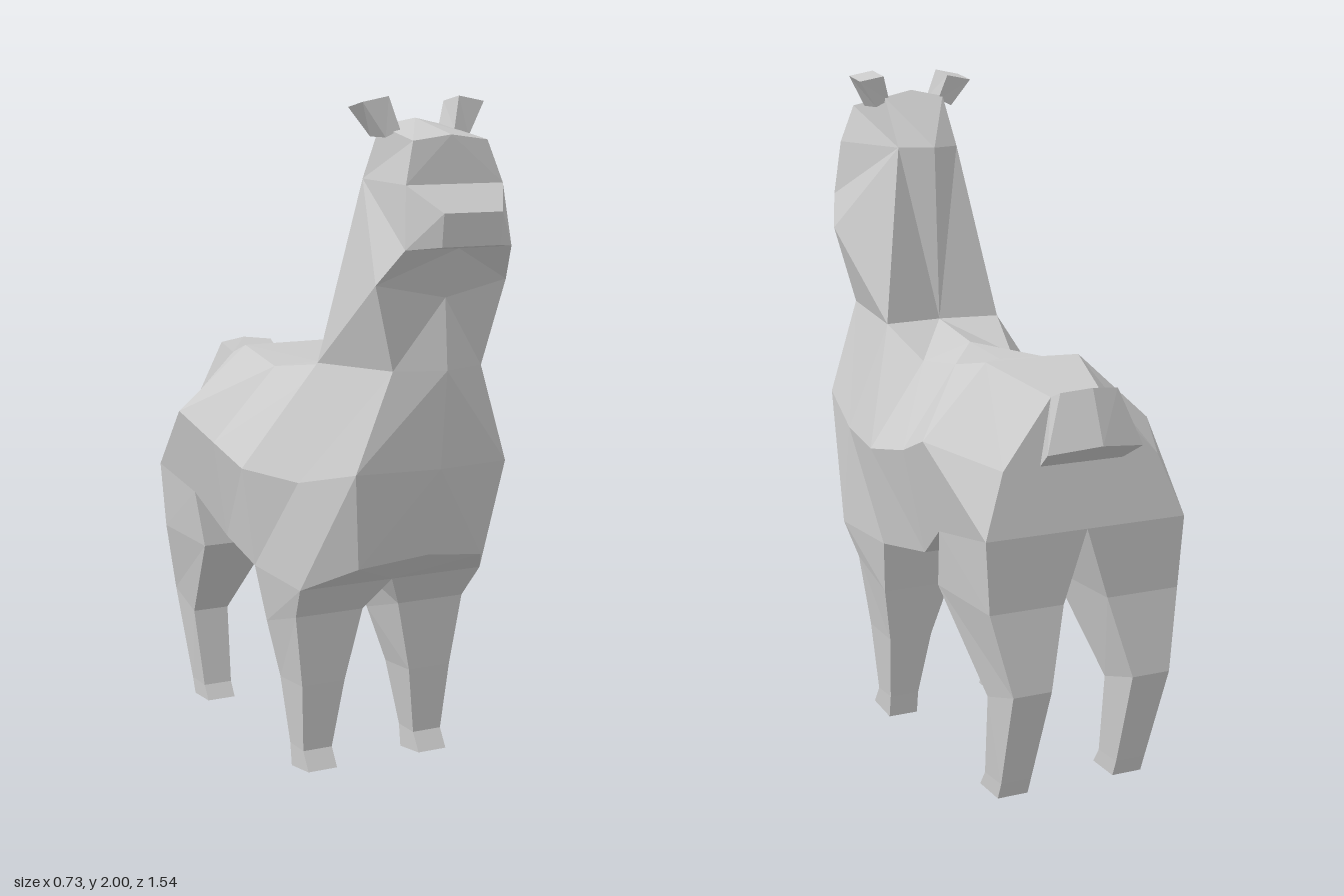
import * as THREE from 'three';

const material = new THREE.MeshStandardMaterial({ color: 0xcccccc, flatShading: true });

// Builds both mirrored halves from grids of points on the +x side.
// Rows run downwards and columns run front to back as seen from outside.
function mirrored(name, ...grids) {
  const positions = [];
  const triangle = (a, b, c) => {
    const [A, B, C] = [a, b, c].map((p) => new THREE.Vector3(...p));
    if (new THREE.Triangle(A, B, C).getArea() < 1e-7) return;
    positions.push(...a, ...b, ...c);
    for (const [x, y, z] of [a, c, b]) positions.push(-x, y, z);
  };
  for (const rows of grids) {
    for (let i = 0; i < rows.length - 1; i++) {
      for (let j = 0; j < rows[i].length - 1; j++) {
        const a = rows[i][j], b = rows[i + 1][j], c = rows[i + 1][j + 1], d = rows[i][j + 1];
        triangle(a, b, c);
        triangle(a, c, d);
      }
    }
  }
  const geometry = new THREE.BufferGeometry();
  geometry.setAttribute('position', new THREE.Float32BufferAttribute(positions, 3));
  geometry.computeVertexNormals();
  const mesh = new THREE.Mesh(geometry, material);
  mesh.name = name;
  return mesh;
}

// The same point moved to the centre plane
const centre = ([, y, z]) => [0, y, z];

// A row shrunk to the middle of a four-cornered ring, used as a cap
function cap(ring) {
  const mid = [0, 1, 2].map((k) => (ring[0][k] + ring[1][k] + ring[2][k] + ring[3][k]) / 4);
  return ring.map(() => mid);
}

// Leg sections from top to sole: outer x, inner x, front y and z, back y and z
function leg(name, sections) {
  const rows = sections.map(([xo, xi, yf, zf, yb, zb]) => [
    [xi, yf, zf], [xo, yf, zf], [xo, yb, zb], [xi, yb, zb], [xi, yf, zf],
  ]);
  rows.push(cap(rows[rows.length - 1]));
  return mirrored(name, rows);
}

export function createModel() {
  const model = new THREE.Group();
  model.name = 'llama';

  // Body lines, running from the chest to the rump
  const throat = [0, 1.26, 0.64];
  const spine = [[0, 1.24, 0.25], [0, 1.2, 0.035], [0, 1.18, -0.16], [0, 1.215, -0.365], [0, 1.155, -0.62]];
  const back = [
    [0.14, 1.26, 0.585], [0.19, 1.24, 0.225], [0.15, 1.15, 0.05],
    [0.145, 1.175, -0.16], [0.15, 1.215, -0.365], [0.08, 1.155, -0.62],
  ];
  const flank = [
    [0.24, 0.975, 0.56], [0.29, 0.91, 0.3], [0.34, 0.905, 0.02],
    [0.335, 0.945, -0.2], [0.365, 1.015, -0.4], [0.245, 0.97, -0.655],
  ];
  const low = [
    [0.2, 0.69, 0.5], [0.3, 0.6, 0.33], [0.3, 0.605, 0.02],
    [0.28, 0.64, -0.23], [0.315, 0.75, -0.4], [0.315, 0.79, -0.69],
  ];
  const breast = [0, 0.72, 0.54];
  const belly = [breast, ...low.slice(1).map(centre)];
  const rump = (row) => centre(row[5]);
  model.add(mirrored('body',
    [spine, back.slice(1)],
    [
      [throat, ...back, rump(back)],
      [[0, 0.98, 0.61], ...flank, rump(flank)],
      [breast, ...low, rump(low)],
      [breast, ...belly, rump(low)],
    ]));

  // Neck
  const jaw = [0.205, 1.5, 0.605], jawMid = [0, 1.46, 0.625];
  const nape = [0.1, 1.77, 0.33], napeMid = [0, 1.77, 0.28];
  model.add(mirrored('neck', [
    [jawMid, jaw, nape, napeMid],
    [throat, back[0], back[1], spine[0]],
  ]));

  // Head: face and muzzle, muzzle side, cheek, back of the head
  const crown = [0.1, 1.92, 0.43], crownMid = [0, 1.94, 0.45];
  const brow = [0.115, 1.885, 0.645], browMid = [0, 1.9, 0.65];
  const eye = [0.15, 1.77, 0.67], mouth = [0.165, 1.6, 0.695];
  const noseTop = [0.09, 1.7, 0.77], noseLow = [0.09, 1.61, 0.76];
  model.add(mirrored('head',
    [
      [crownMid, crown], [browMid, brow], [centre(eye), eye], [centre(noseTop), noseTop],
      [centre(noseLow), noseLow], [centre(mouth), mouth], [jawMid, jaw],
    ],
    [[noseTop, eye], [noseLow, mouth]],
    [[brow, crown], [eye, nape], [mouth, nape], [jaw, nape]],
    [[crown, crownMid], [nape, napeMid]]));

  // Ears, flaring outwards
  const earTop = [[0.11, 2, 0.5], [0.19, 1.985, 0.5], [0.19, 1.97, 0.415], [0.11, 1.985, 0.415], [0.11, 2, 0.5]];
  const earBase = [[0.085, 1.91, 0.52], [0.13, 1.89, 0.52], [0.13, 1.89, 0.43], [0.085, 1.91, 0.43], [0.085, 1.91, 0.52]];
  model.add(mirrored('ears', [cap(earTop), earTop, earBase]));

  // Tail
  const tailTop = [0.09, 1.18, -0.69], tailTip = [0.15, 1.02, -0.73], tailBase = [0.13, 0.97, -0.65];
  model.add(mirrored('tail',
    [
      [back[5], spine[4]], [tailTop, [0, 1.19, -0.71]],
      [tailTip, [0, 1.04, -0.77]], [tailBase, centre(tailBase)],
    ],
    [[back[5], tailTop], [tailBase, tailTip]]));

  // Legs
  model.add(leg('frontLegs', [
    [0.3, 0, 0.6, 0.33, 0.605, 0.02],
    [0.28, 0.06, 0.5, 0.26, 0.44, 0.06],
    [0.25, 0.11, 0.28, 0.24, 0.27, 0.09],
    [0.235, 0.14, 0.07, 0.215, 0.07, 0.125],
    [0.235, 0.14, 0.015, 0.25, 0, 0.135],
  ]));
  model.add(leg('hindLegs', [
    [0.315, 0, 0.75, -0.4, 0.79, -0.69],
    [0.3, 0.07, 0.58, -0.36, 0.58, -0.685],
    [0.25, 0.13, 0.305, -0.575, 0.35, -0.73],
    [0.235, 0.14, 0.06, -0.53, 0.06, -0.63],
    [0.235, 0.14, 0.015, -0.5, 0.01, -0.61],
  ]));

  return model;
}
